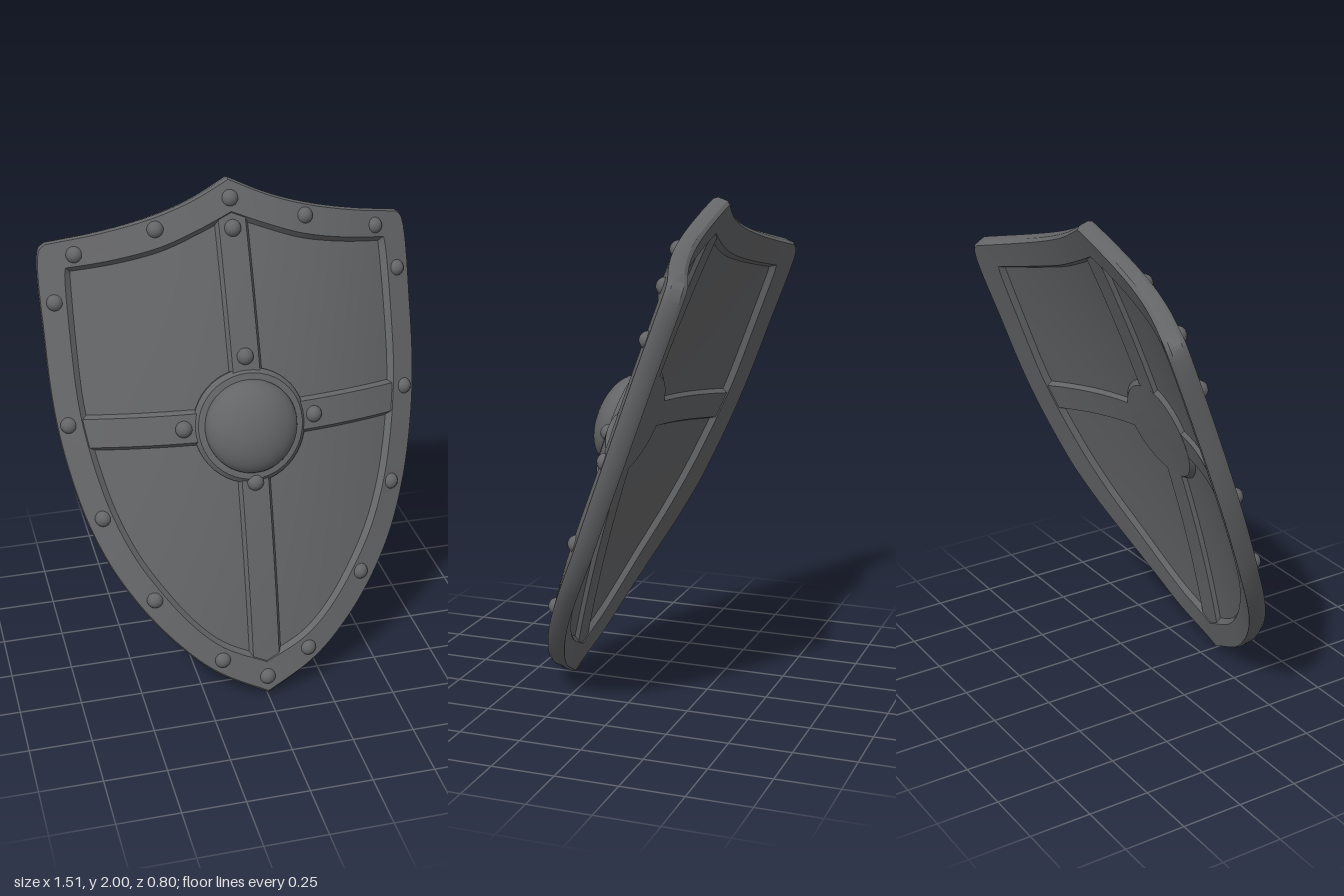
import * as THREE from 'three';
import { toCreasedNormals } from 'three/addons/utils/BufferGeometryUtils.js';

const material = new THREE.MeshStandardMaterial({ color: 0x646567 });
const FRONT = 0.07; // depth of the rim's front face above its back

// Maps flat shield coordinates and a depth onto the tilted, bowed shield
function place(x, y, d) {
  const o = d - FRONT;
  const bow = 0.035 * (1 - (y - 1) ** 2) - 0.3 * x * x;
  const swell = 0.04 * Math.max(0, 1 - ((y - 1.1) / 0.95) ** 2) * Math.max(0, 1 - (x / 0.65) ** 2);
  return new THREE.Vector3(
    x * (1 + 0.5 * o),
    y + 0.317 * o,
    0.405 - 0.335 * y + bow + swell + 0.948 * o
  );
}

// Skins a list of equal cross-sections
function loft(rows, closeRows, closeSection) {
  const n = rows.length, m = rows[0].length;
  const index = [];
  for (let i = 0; i < (closeRows ? n : n - 1); i++) {
    for (let j = 0; j < (closeSection ? m : m - 1); j++) {
      const i2 = (i + 1) % n, j2 = (j + 1) % m;
      const a = i * m + j, b = i2 * m + j, c = i2 * m + j2, d = i * m + j2;
      index.push(a, b, d, b, c, d);
    }
  }
  const geometry = new THREE.BufferGeometry().setFromPoints(rows.flat());
  geometry.setIndex(index);
  return toCreasedNormals(geometry, 0.55);
}

// Full outline, clockwise from the top point, from the +x half
function outline(top, side) {
  const curve = (pts, n) => new THREE.CatmullRomCurve3(
    pts.map(([x, y]) => new THREE.Vector3(x, y, 0))).getPoints(n);
  const half = [...curve(top, 16).slice(0, -1), ...curve(side, 66)];
  const mirrored = half.slice(1, -1).reverse().map(p => new THREE.Vector3(-p.x, p.y, 0));
  return [...half, ...mirrored];
}

export function createModel() {
  const group = new THREE.Group();
  const add = (name, geometry) => {
    const mesh = new THREE.Mesh(geometry, material);
    mesh.name = name;
    group.add(mesh);
    return mesh;
  };

  const outer = outline(
    [[0, 2.005], [0.15, 1.937], [0.3, 1.885], [0.5, 1.83], [0.72, 1.777]],
    [[0.72, 1.777], [0.747, 1.75], [0.757, 1.4], [0.752, 1.2], [0.737, 1.05], [0.705, 0.88],
      [0.66, 0.72], [0.585, 0.55], [0.475, 0.385], [0.35, 0.245], [0.216, 0.13], [0, 0.018]]);
  const inner = outline(
    [[0, 1.865], [0.14, 1.81], [0.28, 1.758], [0.45, 1.715], [0.635, 1.677]],
    [[0.635, 1.677], [0.637, 1.65], [0.64, 1.4], [0.635, 1.2], [0.618, 1.06], [0.59, 0.92],
      [0.55, 0.78], [0.48, 0.62], [0.385, 0.475], [0.28, 0.345], [0.17, 0.25], [0, 0.17]]);

  // Rim: bevelled band between the two outlines, [across, depth]
  const rimProfile = [[0, 0.055], [0, 0.015], [0.07, 0], [0.87, 0], [1, 0.02],
    [1, 0.045], [0.87, FRONT], [0.07, FRONT]];
  add('rim', loft(outer.map((p, i) => rimProfile.map(([t, d]) => {
    const q = p.clone().lerp(inner[i], t);
    return place(q.x, q.y, d);
  })), true, true));

  // Panel: thin bowed sheet filling the rim, front then back
  const steps = Array.from({ length: 13 }, (_, i) => i / 12);
  const sheet = [...steps.map(s => [s, 0.045]), ...steps.map(s => [1 - s, 0.02])];
  add('panel', loft(inner.map(p => sheet.map(([s, d]) =>
    place(p.x * s, 1.1 + (p.y - 1.1) * s, d))), true, false));

  // Crossed straps, raised on both faces, [across, depth]
  const barProfile = [[-0.07, 0.04], [-0.054, 0.065], [0, 0.065], [0.054, 0.065], [0.07, 0.04],
    [0.07, 0.025], [0.054, 0.004], [-0.054, 0.004], [-0.07, 0.025]];
  const barRows = point => Array.from({ length: 41 }, (_, i) =>
    barProfile.map(([w, d]) => point(i / 40, w, d)));
  add('verticalStrap', loft(barRows((t, w, d) => place(-w, 0.13 + 1.77 * t, d)), false, true));
  add('horizontalStrap', loft(barRows((t, w, d) => {
    const x = -0.68 + 1.36 * t;
    return place(x, 1.118 - 0.1 * x * x + w, d);
  }), false, true));

  // Boss: low dome on a flat collar, with a plain disc on the back, [radius, depth]
  const bossProfile = [];
  for (let i = 0; i <= 12; i++) {
    const a = Math.PI / 2 * (1 - i / 12);
    bossProfile.push([0.185 * Math.cos(a), 0.075 + 0.095 * Math.sin(a)]);
  }
  bossProfile.push([0.21, 0.075], [0.228, 0.058], [0.228, 0.02], [0.21, 0.003], [0, 0.003]);
  const bossRows = Array.from({ length: 48 }, (_, i) => {
    const a = i / 48 * Math.PI * 2;
    return bossProfile.map(([r, d]) =>
      place(r * Math.sin(a), 1.105 + 0.95 * r * Math.cos(a), d));
  });
  add('boss', loft(bossRows, true, false));

  // Rivets on the rim and straps, mirrored across x
  const rivet = new THREE.SphereGeometry(0.034, 16, 10);
  const spots = [[0, 1.93], [0, 1.825], [0, 1.365], [0, 0.89], [0, 0.09],
    [0.3, 1.835], [0.61, 1.74], [0.7, 1.56], [0.695, 1.105], [0.6, 0.755],
    [0.43, 0.44], [0.18, 0.18], [0.265, 1.11]];
  for (const [x, y] of spots) {
    for (const side of x ? [1, -1] : [1]) {
      add('rivet', rivet).position.copy(place(side * x, y, 0.06));
    }
  }
  return group;
}
